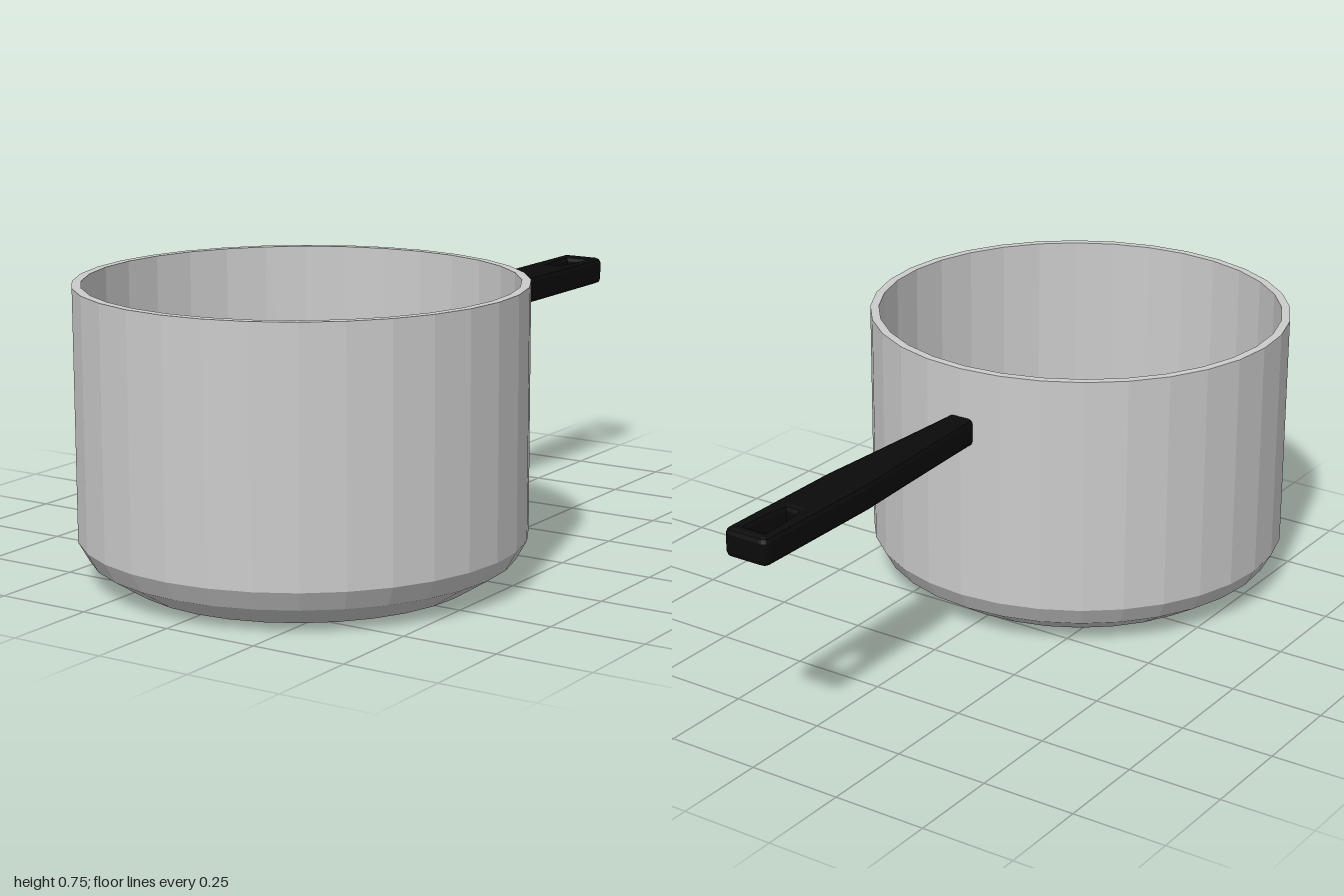
import * as THREE from 'three';

const steel = new THREE.MeshStandardMaterial({ color: 0xcccccc, flatShading: true });
const black = new THREE.MeshStandardMaterial({ color: 0x0b0b0b, flatShading: true });

// Closed wall profile: base, chamfered rim of the base, wall, lip, inside wall, floor
function createPot() {
  const profile = [
    [0, 0], [0.43, 0], [0.445, 0.004], [0.537, 0.062], [0.565, 0.112],
    [0.565, 0.747], [0.542, 0.747], [0.542, 0.08], [0, 0.08],
  ].map(([r, y]) => new THREE.Vector2(r, y));
  const pot = new THREE.Mesh(new THREE.LatheGeometry(profile, 32), steel);
  pot.name = 'pot';
  pot.position.z = 0.435;
  return pot;
}

// Tapered grip drawn flat (shape y runs backwards), with a hanging slot
function createHandle() {
  const bevel = 0.014;
  const outline = new THREE.Shape();
  outline.moveTo(-0.036, 0.115);
  outline.lineTo(0.036, 0.115);
  outline.quadraticCurveTo(0.05, 0.4, 0.063, 0.6);
  outline.lineTo(0.063, 0.98);
  outline.quadraticCurveTo(0.063, 1, 0.043, 1);
  outline.lineTo(-0.043, 1);
  outline.quadraticCurveTo(-0.063, 1, -0.063, 0.98);
  outline.lineTo(-0.063, 0.6);
  outline.quadraticCurveTo(-0.05, 0.4, -0.036, 0.115);

  const slot = new THREE.Path();
  slot.moveTo(-0.031, 0.96);
  slot.lineTo(0.031, 0.96);
  slot.quadraticCurveTo(0.031, 0.87, 0.018, 0.82);
  slot.lineTo(-0.018, 0.82);
  slot.quadraticCurveTo(-0.031, 0.87, -0.031, 0.96);
  outline.holes.push(slot);

  const geometry = new THREE.ExtrudeGeometry(outline, {
    depth: 0.074 - 2 * bevel, curveSegments: 5,
    bevelThickness: bevel, bevelSize: bevel, bevelOffset: -bevel, bevelSegments: 2,
  });
  geometry.rotateX(-Math.PI / 2);
  const handle = new THREE.Mesh(geometry, black);
  handle.name = 'handle';
  handle.position.y = 0.541 + bevel;
  return handle;
}

export function createModel() {
  const saucepan = new THREE.Group();
  saucepan.name = 'saucepan';
  saucepan.add(createPot(), createHandle());
  return saucepan;
}
